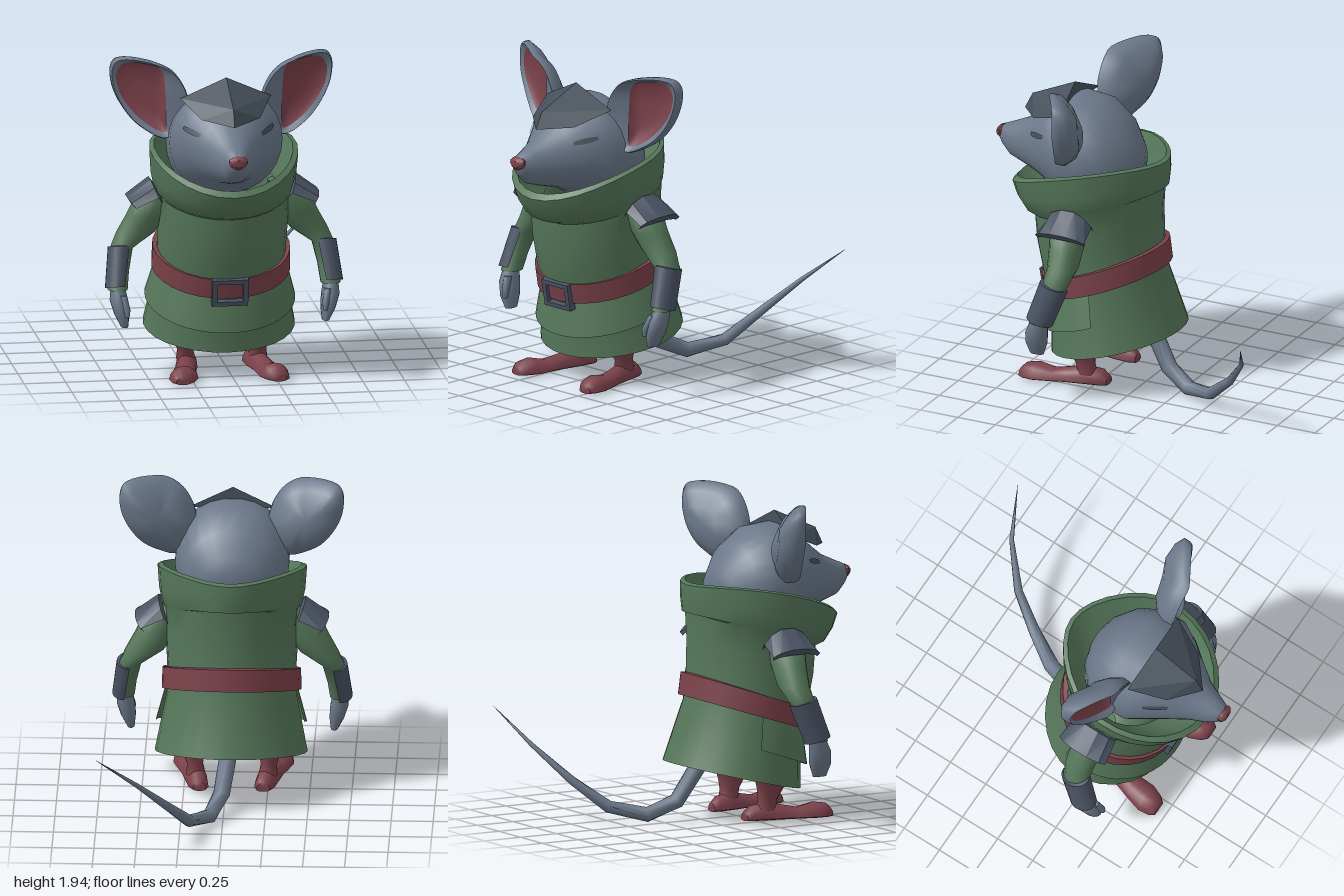
import * as THREE from 'three';
import { toCreasedNormals } from 'three/addons/utils/BufferGeometryUtils.js';

const mat = (name, color, side = THREE.FrontSide) =>
  Object.assign(new THREE.MeshStandardMaterial({ color, side }), { name });
const V = (x, y, z) => new THREE.Vector3(x, y, z);
const lerp = THREE.MathUtils.lerp;

// Skin a list of rings; caps are fans to the ring centre
function loft(rings, { closed = true, start = false, end = false, crease = 0.7 } = {}) {
  const n = rings[0].length, pos = [], idx = [];
  rings.flat().forEach(p => pos.push(p.x, p.y, p.z));
  for (let i = 0; i < rings.length - 1; i++)
    for (let j = 0; j < (closed ? n : n - 1); j++) {
      const k = (j + 1) % n, a = i * n + j, b = i * n + k;
      idx.push(a, b, b + n, a, b + n, a + n);
    }
  const cap = (r, flip) => {
    const c = rings[r].reduce((s, p) => s.add(p), V(0, 0, 0)).divideScalar(n);
    const ci = pos.length / 3;
    pos.push(c.x, c.y, c.z);
    for (let j = 0; j < n; j++) {
      const a = r * n + j, b = r * n + (j + 1) % n;
      idx.push(ci, flip ? b : a, flip ? a : b);
    }
  };
  if (start) cap(0, true);
  if (end) cap(rings.length - 1, false);
  const g = new THREE.BufferGeometry();
  g.setAttribute('position', new THREE.Float32BufferAttribute(pos, 3));
  g.setIndex(idx);
  return toCreasedNormals(g, crease);
}

// Mirror across x and restore the winding
function mirrored(geo) {
  const g = geo.clone();
  for (const key of ['position', 'normal']) {
    const a = g.attributes[key];
    for (let i = 0; i < a.count; i += 3) {
      const p = [0, 2, 1].map(k => V().fromBufferAttribute(a, i + k));
      p.forEach((v, k) => a.setXYZ(i + k, -v.x, v.y, v.z));
    }
  }
  return g;
}

const sweep = (from, to, n, fn) =>
  Array.from({ length: n }, (_, i) => fn(THREE.MathUtils.degToRad(from + (to - from) * i / n)));
// Tilted garment ring: back z/y, front z/y, half width, side y, narrowing of the back
const hoop = ([zb, yb, zf, yf, hw, ys = (yb + yf) / 2, pinch = .08], from = 0, to = 360, n = 28) =>
  sweep(from, to, n, a => {
    const c = Math.cos(a);
    return V(hw * Math.sin(a) * (1 - (c < 0 ? pinch * c * c : 0)),
      ys + (yf - yb) / 2 * c + ((yf + yb) / 2 - ys) * c * c, (zf + zb) / 2 + (zf - zb) / 2 * c);
  });
// Horizontal limb ring
const limb = ([x, y, z, rx, rz]) =>
  sweep(0, 360, 14, a => V(x + rx * Math.sin(a), y, z + rz * Math.cos(a)));

// Head sections: z, bottom, top, half width
const HEAD = [[.07, 1.3, 1.46, .08], [.1, 1.2, 1.53, .18], [.2, 1.1, 1.665, .29], [.33, 1.08, 1.755, .34],
  [.48, 1.13, 1.77, .34], [.6, 1.2, 1.71, .27], [.7, 1.24, 1.625, .2], [.8, 1.265, 1.55, .13],
  [.9, 1.295, 1.505, .085], [.955, 1.35, 1.482, .058], [.98, 1.385, 1.462, .036]];
function headX(z, y) {
  const i = HEAD.findIndex(h => h[0] > z), p = HEAD[i - 1], q = HEAD[i];
  const [, b, t, w] = p.map((v, k) => lerp(v, q[k], (z - p[0]) / (q[0] - p[0])));
  return w * Math.max(0, 1 - ((y - (b + t) / 2) / ((t - b) / 2)) ** 2) ** .45;
}

export function createModel() {
  const fur = mat('grey fur', 0x6b788a), green = mat('green cloth', 0x55775a, THREE.DoubleSide);
  const red = mat('dull red', 0x7b414a);
  const steel = mat('dark steel', 0x4a5363, THREE.DoubleSide);
  const dark = mat('dark slate', 0x454f5a, THREE.DoubleSide);

  const model = new THREE.Group();
  model.name = 'mouse';
  const body = new THREE.Group();
  body.name = 'figure';
  body.position.x = -0.033;
  model.add(body);
  const put = (name, geo, m) => {
    const mesh = new THREE.Mesh(geo, m);
    mesh.name = name;
    body.add(mesh);
  };
  const pair = (name, geo, m) => {
    put(name + 'Left', geo, m);
    put(name + 'Right', mirrored(geo), m);
  };

  // Tunic, skirt and rolled collar
  put('tunic', loft([
    [-.21, .37, .59, .18, .455], [-.08, .74, .6, .5, .385], [-.065, .92, .655, .66, .385],
    [-.06, 1.1, .695, .85, .395], [-.07, 1.26, .71, 1.02, .4], [-.11, 1.27, .77, 1.04, .415, 1.16, .25],
    [-.12, 1.36, .83, 1.12, .435, 1.25, .25], [-.118, 1.44, .86, 1.19, .445, 1.39, .25],
    [-.09, 1.45, .83, 1.225, .415, 1.4, .25], [-.03, 1.34, .74, 1.13, .37, 1.28, .2],
    [.05, 1.24, .62, 1.08, .32]].map(r => hoop(r))), green);
  put('skirtFlap', loft([[-.18, .594, .637, .31, .45], [-.08, .78, .608, .56, .39]]
    .map(r => hoop(r, -103, 107, 27)), { closed: false }), green);
  put('hips', new THREE.SphereGeometry(1, 16, 10).scale(.3, .17, .24).translate(0, .54, .25), green);

  // Belt and buckle
  put('belt', loft([[-.07, .77, .58, .53, .37], [-.112, .765, .637, .52, .416],
    [-.095, .9, .662, .64, .412], [-.06, .9, .62, .64, .37]].map(r => hoop(r))), red);
  const frame = (s, w, h) => s.moveTo(-w, -h).lineTo(w, -h).lineTo(w, h).lineTo(-w, h).closePath();
  const plate = new THREE.Shape(), hole = new THREE.Path();
  frame(plate, .108, .083);
  frame(hole, .078, .056);
  plate.holes.push(hole);
  put('buckle', new THREE.ExtrudeGeometry(plate, { depth: .045, bevelEnabled: false })
    .rotateX(.18).translate(0, .567, .616), steel);

  // Head, nose and closed eyes
  put('head', loft(HEAD.map(([z, b, t, w]) => sweep(0, 360, 26, a => {
    const c = Math.cos(a);
    return V(w * Math.sign(c) * Math.abs(c) ** .9, (b + t) / 2 + (t - b) / 2 * Math.sin(a), z);
  })), { start: true, end: true, crease: 1.2 }), fur);
  put('nose', loft([[.95, .045, .034], [.972, .057, .042], [.988, .052, .036], [1, .034, .022]].map(([z, w, h]) =>
    sweep(0, 360, 12, a => V(w * Math.cos(a) * (1 + .25 * Math.sin(a)), 1.432 + h * Math.sin(a), z))),
  { end: true }), red);
  pair('eye', loft([-1, 1].map(s => [0, .25, .5, .75, 1].map(t => {
    const z = .69 - .12 * t, y = 1.537 + .028 * t + s * .015 * Math.sin(Math.PI * (.2 + .6 * t));
    return V(headX(z, y) + .006, y, z + .003);
  })), { closed: false }), dark);

  // Ears: cupped shell with a red lining set back from the inner edge
  const trace = (pts, k, zAt) => {
    const c = new THREE.CatmullRomCurve3(pts.map(([x, y]) => V(x, y, 0)), true, 'centripetal');
    return Array.from({ length: 40 }, (_, i) => {
      const p = c.getPoint(i / 40), x = lerp(.42, p.x, k), y = lerp(1.7, p.y, k);
      return V(x, y, zAt(x, y));
    });
  };
  const rim = [[.663, 1.89], [.627, 1.937], [.447, 1.937], [.319, 1.88], [.237, 1.76],
    [.216, 1.61], [.33, 1.46], [.499, 1.527], [.6, 1.64], [.658, 1.77]];
  const lining = [[.632, 1.846], [.59, 1.908], [.463, 1.908], [.375, 1.875], [.352, 1.743],
    [.348, 1.589], [.355, 1.496], [.473, 1.553], [.586, 1.676], [.627, 1.77]];
  const shell = (depth, k = 1) => trace(rim, k, (x, y) =>
    .465 - .58 * Math.max(0, x - .4) - .15 * Math.max(0, 1.75 - y) - depth);
  const cup = (depth, k = 1) => trace(lining, k, x => .395 - .31 * (x - .35) - depth);
  pair('ear', loft([shell(.18, .45), shell(.118, .8), shell(.055), shell(.015), shell(0, .97), cup(0)],
    { start: true, crease: 1.2 }), fur);
  pair('earLining', loft([cup(0), cup(.02, .8), cup(.03, .45)], { end: true, crease: 1.2 }), red);

  // Peaked visor on the brow
  const A = V(0, 1.84, .49), U = V(0, 1.712, .775), T = V(0, 1.612, .825), B = V(0, 1.72, .48);
  const S = V(.272, 1.715, .465), F = V(.175, 1.632, .68);
  const visor = new THREE.BufferGeometry().setFromPoints([A, U, S, S, U, F, F, U, T, A, S, B]);
  visor.computeVertexNormals();
  pair('visor', visor, dark);

  // Sleeves, shoulder plates and bracers
  pair('sleeve', loft([[.64, .545, .4, .06, .07], [.627, .65, .365, .06, .07], [.605, .78, .32, .067, .08],
    [.52, .87, .31, .115, .09], [.45, .98, .32, .125, .1], [.405, 1.09, .33, .12, .11],
    [.34, 1.165, .33, .07, .09]].map(limb), { start: true, end: true, crease: 1.1 }), green);
  const arcZ = [.485, .45, .37, .27, .2, .16];
  const drop = [.09, .035, 0, 0, .035, .09];
  const arch = (x, y, k, f) => arcZ.map((z, i) =>
    V(x - drop[i] * .4, y - drop[i] * f, .325 + (z - .325) * k));
  pair('shoulderPlate', loft([arch(.41, 1.165, .85, 1), arch(.437, 1.2, .88, 1),
    arch(.577, 1.095, 1, .45), arch(.555, 1.06, .95, .3)], { closed: false, crease: .4 }), steel);
  const cuff = ([x, y, z, rx, rz]) => sweep(-35, 200, 14, a =>
    V(x + rx * Math.sin(a), y + .022 * Math.cos(a), z + rz * Math.cos(a)));
  pair('bracer', loft([[.645, .56, .4, .05, .06], [.645, .555, .4, .07, .082],
    [.61, .788, .32, .076, .088], [.61, .788, .32, .055, .07]].map(cuff), { closed: false, crease: .5 }), steel);

  // Hands with thumbs
  pair('hand', loft([[.605, .325, .44, .022, .045], [.62, .4, .435, .045, .07], [.635, .48, .425, .055, .07],
    [.642, .57, .4, .043, .05]].map(limb), { start: true, end: true, crease: 1.1 }), fur);
  pair('thumb', loft([[.595, .395, .5, .012, .016], [.597, .44, .496, .02, .024], [.615, .52, .455, .022, .03]]
    .map(limb), { start: true, end: true, crease: 1.1 }), fur);

  // Legs and splayed feet
  pair('leg', loft([[.215, .08, .3, .058, .062], [.22, .14, .31, .048, .06], [.225, .2, .325, .064, .08],
    [.23, .28, .33, .086, .105], [.21, .4, .31, .125, .14], [.17, .6, .28, .15, .17]].map(limb),
  { end: true, crease: 1.1 }), red);
  pair('foot', loft([[.17, .19, .04, .075], [.21, .196, .06, .11], [.31, .212, .066, .125], [.42, .236, .066, .1],
    [.5, .254, .076, .085], [.6, .272, .088, .11], [.67, .284, .07, .1], [.7, .288, .045, .07]].map(([z, x, w, t]) =>
    sweep(0, 360, 16, a => {
      const s = Math.sin(a);
      return V(x + w * Math.cos(a), .03 + (s > 0 ? t - .03 : .012) * s, z);
    })), { start: true, end: true, crease: .9 }), red);

  // Tapering tail in straight jointed segments: x, y, z, radius
  const joints = [[0, .52, .08, .055], [.01, .33, -.04, .052], [.045, .135, -.16, .05], [.11, .057, -.325, .046],
    [.225, .105, -.525, .037], [.335, .262, -.71, .026], [.52, .467, -.88, .014], [.765, .675, -.998, .001]];
  const path = new THREE.CatmullRomCurve3(joints.map(j => V(j[0], j[1], j[2])), false, 'centripetal');
  put('tail', loft(joints.map(([x, y, z, r], i) => {
    const t = path.getTangent(i / 7), n = V(1, 0, 0).cross(t).normalize(), b = t.clone().cross(n);
    return sweep(0, 360, 8, a => V(x, y, z).addScaledVector(n, r * Math.cos(a)).addScaledVector(b, r * Math.sin(a)));
  }), { crease: 1.1 }), fur);

  return model;
}
